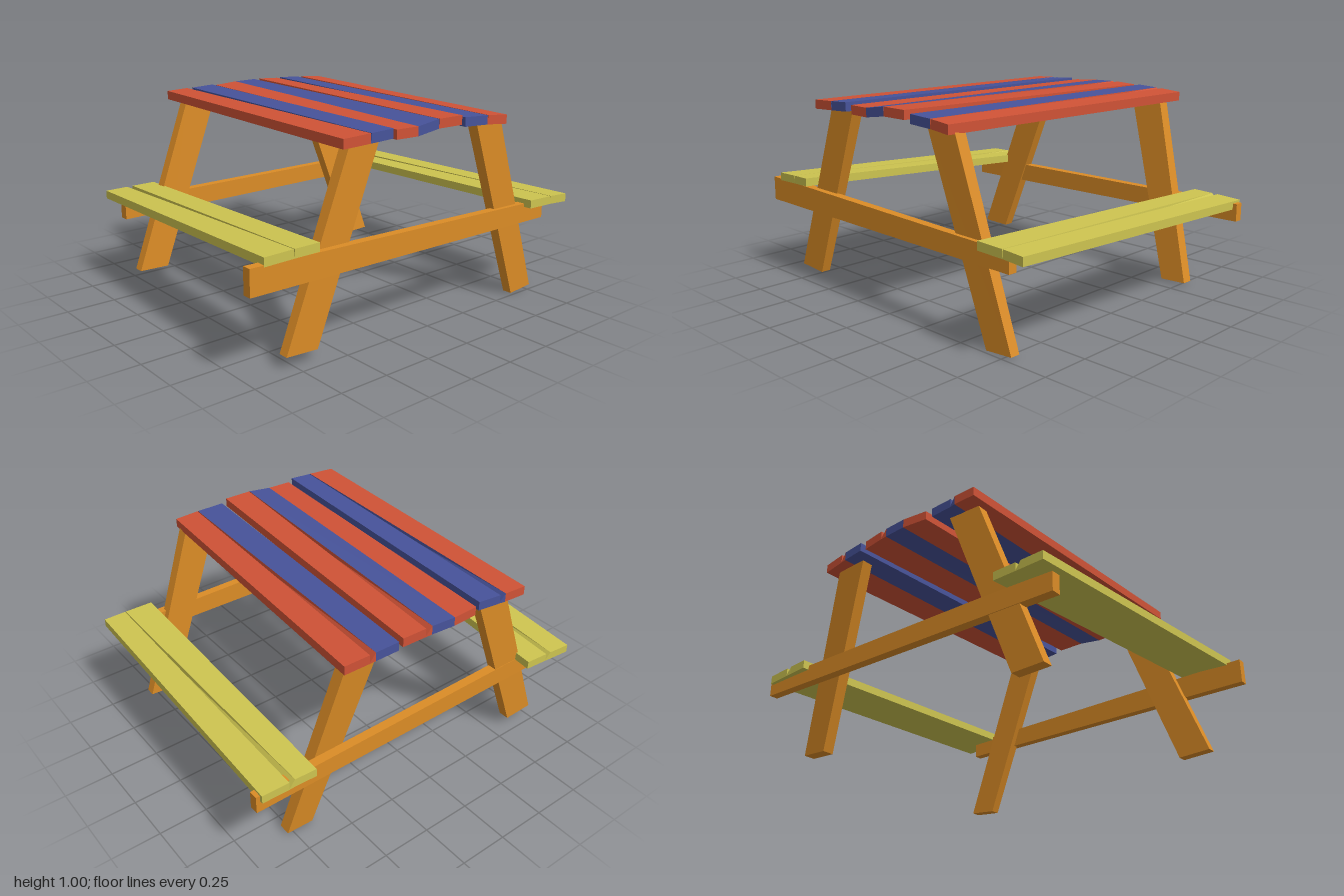
import * as THREE from 'three';

const material = (name, color) => {
  const m = new THREE.MeshStandardMaterial({ color });
  m.name = name;
  return m;
};

// Six-sided timber between two end sections, each of four corners
// running counter-clockwise as seen from outside end a.
function timber(name, mat, a, b) {
  const pos = [];
  const quad = (p, q, r, s) => [p, q, r, p, r, s].forEach((v) => pos.push(...v));
  quad(...a);
  quad(b[3], b[2], b[1], b[0]);
  for (let i = 0; i < 4; i++) {
    const j = (i + 1) % 4;
    quad(a[i], b[i], b[j], a[j]);
  }
  const geo = new THREE.BufferGeometry();
  geo.setAttribute('position', new THREE.Float32BufferAttribute(pos, 3));
  geo.computeVertexNormals();
  const mesh = new THREE.Mesh(geo, mat);
  mesh.name = name;
  return mesh;
}

// End of a slat: left and right x, top height on each side, z on each side
const slatEnd = ([x0, x1, y0, y1, z0, z1], t) => [
  [x0, y0 - t, z0], [x1, y1 - t, z1], [x1, y1, z1], [x0, y0, z0],
];

// Wedge groove between two slats: slopes from the left top edge to the right underside
const grooveEnd = (l, r, t) => [
  [l[1], l[3] - t, l[5]], [r[0], r[2] - t, r[4]],
  [r[0], r[2] - t + 0.004, r[4]], [l[1], l[3], l[5]],
];

// Foot or head of a leg, flat in x and z
const legEnd = (x0, x1, y0, y1, z0, z1) => [
  [x0, y0, z0], [x1, y1, z0], [x1, y1, z1], [x0, y0, z1],
];

// End of a cross beam, flat in y and z
const beamEnd = (x, y0, y1, z0, z1) => [
  [x, y0, z0], [x, y0, z1], [x, y1, z1], [x, y1, z0],
];

export function createModel() {
  const wood = material('orange wood', 0xdb8c26);
  const red = material('red paint', 0xcf5236);
  const blue = material('blue paint', 0x47539a);
  const yellow = material('yellow paint', 0xcdc450);
  const model = new THREE.Group();
  model.name = 'picnicTable';

  // Rows of slats; a true flag joins a slat to the one before by a groove
  function slats(groupName, partName, t, rows) {
    const group = new THREE.Group();
    group.name = groupName;
    rows.forEach(([mat, front, back, joined], i) => {
      group.add(timber(partName, mat, slatEnd(front, t), slatEnd(back, t)));
      if (joined) {
        const [, f, b] = rows[i - 1];
        group.add(timber('groove', mat, grooveEnd(f, front, t), grooveEnd(b, back, t)));
      }
    });
    model.add(group);
  }

  // Table top: alternating, slightly tilted boards
  slats('tableTop', 'tableBoard', 0.045, [
    [red, [-0.535, -0.39, 0.98, 0.987, 0.755, 0.763], [-0.46, -0.34, 0.985, 0.99, -0.81, -0.805]],
    [blue, [-0.385, -0.265, 0.987, 0.993, 0.763, 0.768], [-0.31, -0.185, 0.99, 0.997, -0.80, -0.79], true],
    [red, [-0.235, -0.11, 0.982, 0.982, 0.758, 0.765], [-0.155, -0.015, 0.99, 0.997, -0.80, -0.81]],
    [blue, [-0.11, 0.02, 0.982, 1.0, 0.765, 0.765], [-0.015, 0.11, 0.997, 1.0, -0.81, -0.802]],
    [red, [0.023, 0.168, 1.0, 1.0, 0.765, 0.768], [0.145, 0.265, 1.0, 0.995, -0.80, -0.79], true],
    [blue, [0.2, 0.343, 0.985, 0.98, 0.76, 0.77], [0.295, 0.415, 0.995, 0.99, -0.797, -0.79]],
    [red, [0.347, 0.47, 0.98, 0.97, 0.77, 0.78], [0.445, 0.57, 0.988, 0.98, -0.787, -0.775], true],
  ]);

  // Benches
  slats('rightBench', 'benchBoard', 0.042, [
    [yellow, [-0.93, -0.787, 0.548, 0.555, 0.732, 0.742], [-0.85, -0.73, 0.485, 0.488, -0.825, -0.817]],
    [yellow, [-0.783, -0.66, 0.555, 0.56, 0.742, 0.752], [-0.70, -0.575, 0.489, 0.492, -0.815, -0.808], true],
  ]);
  slats('leftBench', 'benchBoard', 0.042, [
    [yellow, [0.665, 0.815, 0.513, 0.511, 0.805, 0.81], [0.705, 0.815, 0.478, 0.476, -0.757, -0.75]],
    [yellow, [0.819, 0.935, 0.511, 0.506, 0.81, 0.817], [0.845, 0.98, 0.475, 0.47, -0.75, -0.742], true],
  ]);

  // Splayed legs: foot, then head
  const legs = [
    ['frontRightLeg', [-0.8, -0.63, 0.06, 0.05, 0.65, 0.7], [-0.46, -0.29, 0.945, 0.945, 0.65, 0.71]],
    ['frontLeftLeg', [0.64, 0.79, 0, 0.012, 0.68, 0.73], [0.295, 0.47, 0.945, 0.94, 0.685, 0.745]],
    ['backRightLeg', [-0.76, -0.595, 0.055, 0.05, -0.71, -0.655], [-0.42, -0.245, 0.95, 0.95, -0.73, -0.675]],
    ['backLeftLeg', [0.645, 0.785, 0.012, 0.018, -0.63, -0.57], [0.345, 0.52, 0.945, 0.94, -0.73, -0.67]],
  ];
  for (const [name, foot, head] of legs) {
    model.add(timber(name, wood, legEnd(...foot), legEnd(...head)));
  }

  // Cross beams carrying the benches
  model.add(timber('frontBeam', wood,
    beamEnd(-1, 0.39, 0.515, 0.685, 0.73), beamEnd(0.81, 0.39, 0.485, 0.72, 0.765)));
  model.add(timber('backBeam', wood,
    beamEnd(-0.82, 0.355, 0.455, -0.72, -0.67), beamEnd(1, 0.37, 0.46, -0.725, -0.68)));

  return model;
}
